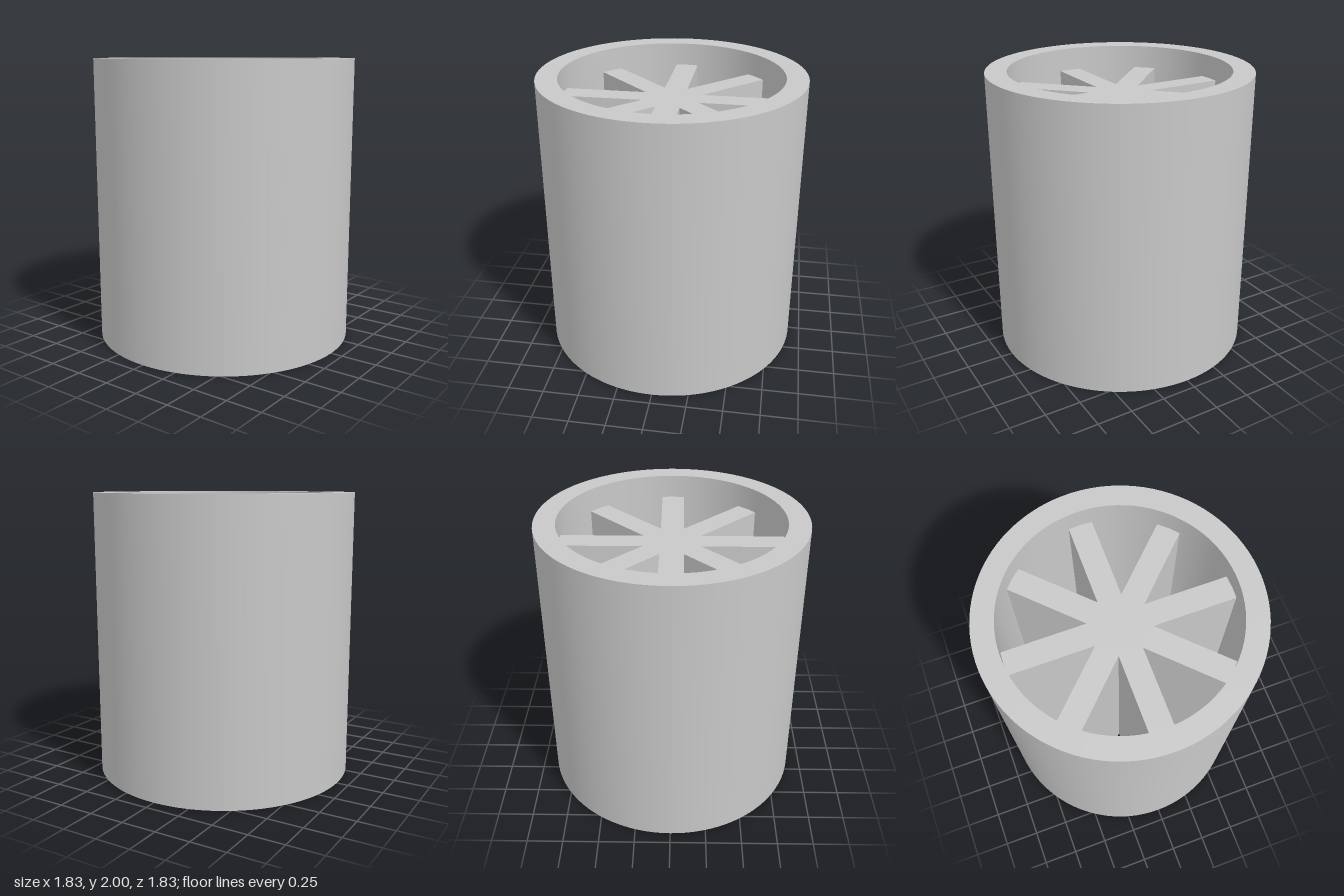
import * as THREE from 'three';
import { mergeGeometries } from 'three/addons/utils/BufferGeometryUtils.js';

const HEIGHT = 2;
const OUTER = 0.916;
const INNER = 0.767;
const SPOKE_WIDTH = 0.162;
const SPOKE_HEIGHT = 1.835; // spokes stop below the rim
const SPOKES = 8;

// Hollow tube: four lathed faces kept separate so the rims stay sharp
function tubeGeometry() {
  const profile = [
    [OUTER, 0], [OUTER, HEIGHT], [INNER, HEIGHT], [INNER, 0],
  ].map(([r, y]) => new THREE.Vector2(r, y));
  const faces = profile.map((p, i) =>
    new THREE.LatheGeometry([p, profile[(i + 1) % profile.length]], 96));
  return mergeGeometries(faces);
}

// Star of joined spokes, each ending on the tube's inner wall
function spokesGeometry() {
  const shape = new THREE.Shape();
  const step = (Math.PI * 2) / SPOKES;
  const half = Math.asin(SPOKE_WIDTH / 2 / INNER);
  const notch = SPOKE_WIDTH / 2 / Math.sin(step / 2);
  for (let i = 0; i < SPOKES; i++) {
    const a = i * step;
    const put = (r, t) => {
      const x = r * Math.cos(t), y = r * Math.sin(t);
      if (i === 0 && r === notch) shape.moveTo(x, y);
      else shape.lineTo(x, y);
    };
    put(notch, a - step / 2);
    for (const t of [-half, 0, half]) put(INNER, a + t);
  }
  shape.closePath();
  const geometry = new THREE.ExtrudeGeometry(shape, { depth: SPOKE_HEIGHT, bevelEnabled: false });
  return geometry.rotateX(-Math.PI / 2);
}

export function createModel() {
  const group = new THREE.Group();
  group.name = 'spokedCylinder';
  const grey = new THREE.MeshStandardMaterial({ color: 0xc8c8c8 });
  grey.name = 'light grey';

  const tube = new THREE.Mesh(tubeGeometry(), grey);
  tube.name = 'outerTube';
  const spokes = new THREE.Mesh(spokesGeometry(), grey);
  spokes.name = 'innerSpokes';
  group.add(tube, spokes);
  return group;
}
